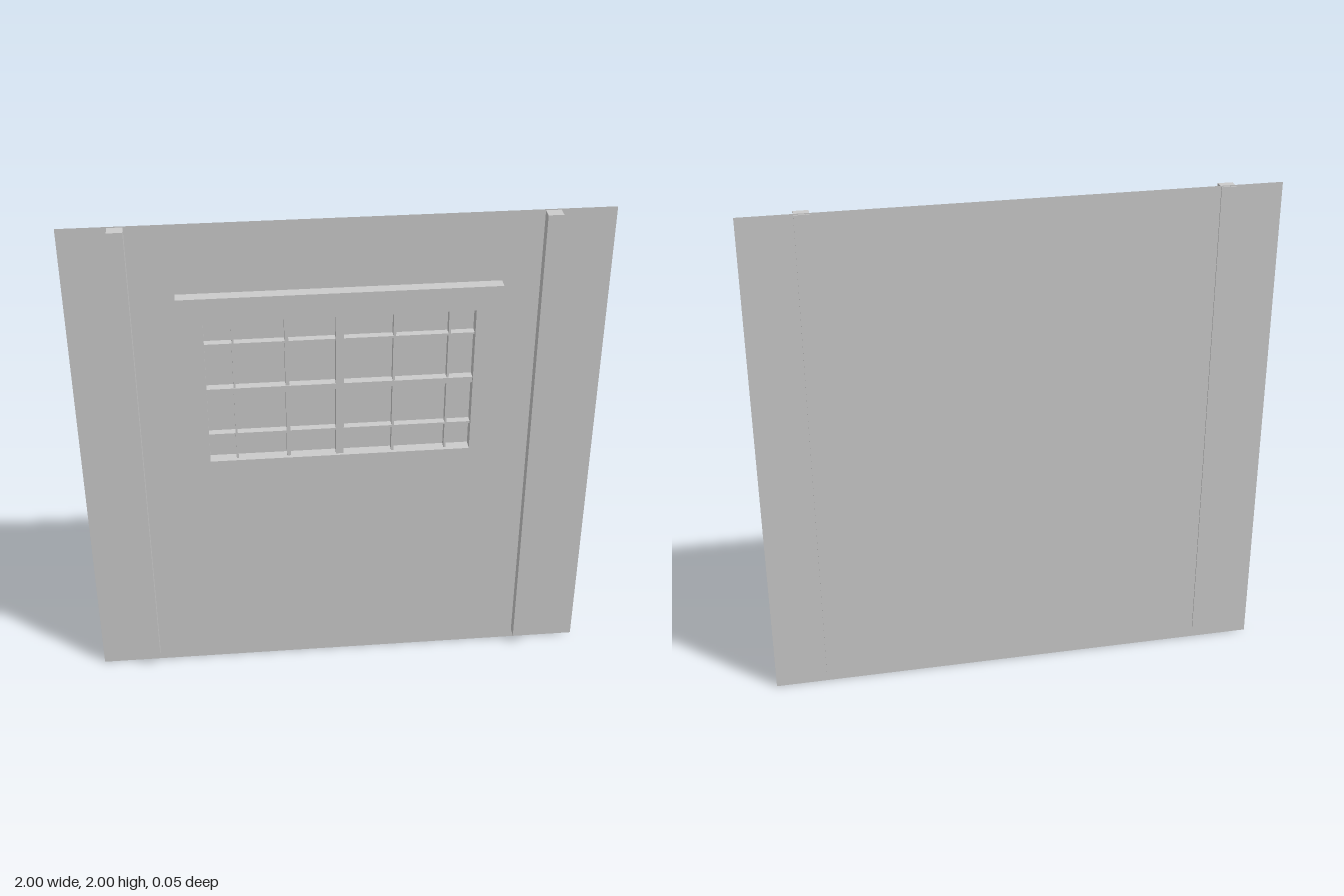
import * as THREE from 'three';

const BACK = -0.02; // plane of the wall panel

export function createModel() {
  const group = new THREE.Group();
  group.name = 'wallWithWindow';
  const material = new THREE.MeshStandardMaterial({ color: 0xcccccc });

  const add = (name, geometry, mat = material) => {
    const mesh = new THREE.Mesh(geometry, mat);
    mesh.name = name;
    group.add(mesh);
    return mesh;
  };

  // Box given by its extents on each axis
  const addBox = (name, x0, x1, y0, y1, z0, z1) =>
    add(name, new THREE.BoxGeometry(x1 - x0, y1 - y0, z1 - z0))
      .position.set((x0 + x1) / 2, (y0 + y1) / 2, (z0 + z1) / 2);

  // Thin wall sheet, seen from both sides
  const sheet = material.clone();
  sheet.side = THREE.DoubleSide;
  add('wallPanel', new THREE.PlaneGeometry(2, 2), sheet).position.set(0, 1, BACK);

  // Upright posts, poking slightly through the sheet
  addBox('rightPost', -0.82, -0.763, 0.04, 1.996, -0.025, 0.024);
  addBox('leftPost', 0.738, 0.795, 0.04, 1.996, -0.025, 0.024);

  // Window frame with a rectangular opening
  const rectangle = (path, x0, x1, y0, y1) =>
    path.moveTo(x0, y0).lineTo(x1, y0).lineTo(x1, y1).lineTo(x0, y1).closePath();
  const [left, right, bottom, top] = [-0.505, 0.499, 1.022, 1.628];
  const outline = rectangle(new THREE.Shape(), -0.6, 0.596, 0.926, 1.724);
  outline.holes.push(rectangle(new THREE.Path(), left, right, bottom, top));
  const frame = new THREE.ExtrudeGeometry(outline, { depth: 0.045, bevelEnabled: false });
  add('windowFrame', frame).position.z = BACK;

  // Glazing bars: [centre, width, front face]
  const uprights = [[-0.4, 0.008, 0.01], [-0.202, 0.014, 0.01], [-0.005, 0.03, 0.014],
    [0.2, 0.01, 0.01], [0.405, 0.008, 0.01]];
  for (const [x, w, z] of uprights)
    addBox('verticalBar', x - w / 2, x + w / 2, bottom, top, BACK, z);

  const rails = [[1.132, 0.008, 0.009], [1.326, 0.023, 0.013], [1.524, 0.008, 0.009]];
  for (const [y, h, z] of rails)
    addBox('horizontalBar', left, right, y - h / 2, y + h / 2, BACK, z);

  return group;
}
